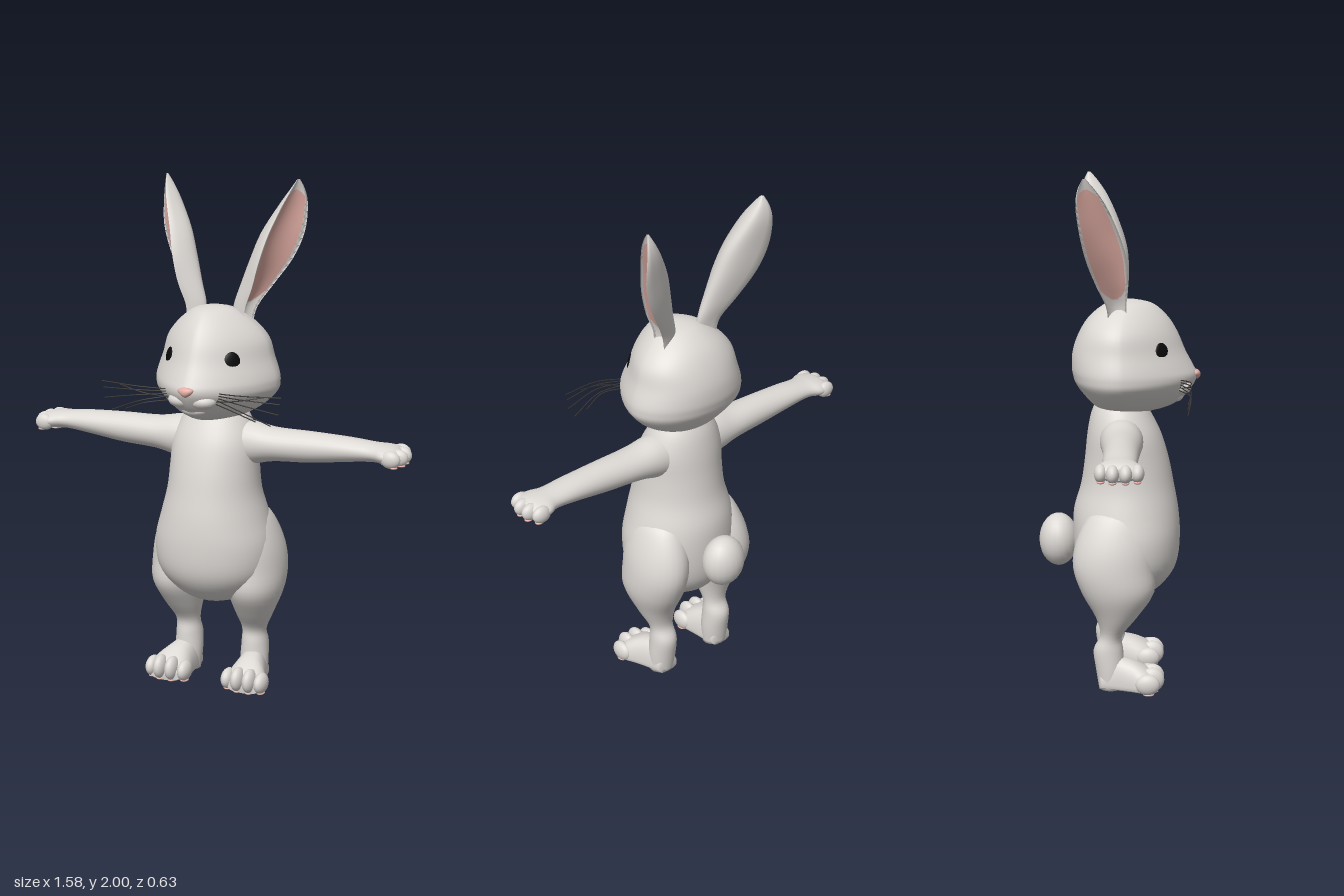
import * as THREE from 'three';

const mat = (name, color) => {
  const m = new THREE.MeshStandardMaterial({ color });
  m.name = name;
  return m;
};

// Smoothly resample a table of key rows (Catmull-Rom per column)
function resample(rows, steps) {
  const out = [];
  const cr = (a, b, c, d, t) =>
    0.5 * (2 * b + (c - a) * t + (2 * a - 5 * b + 4 * c - d) * t * t + (3 * b - a - 3 * c + d) * t * t * t);
  for (let i = 0; i < rows.length - 1; i++) {
    const [a, b, c, d] = [rows[Math.max(i - 1, 0)], rows[i], rows[i + 1], rows[Math.min(i + 2, rows.length - 1)]];
    for (let k = 0; k < steps; k++) out.push(b.map((_, j) => cr(a[j], b[j], c[j], d[j], k / steps)));
  }
  out.push(rows[rows.length - 1]);
  return out;
}

// Closed loft: point(row, u) with u in 0..1 around each section; ends are capped
function loft(keys, point, n = 28, steps = 4) {
  const rows = resample(keys, steps), pos = [], idx = [];
  rows.forEach(r => { for (let i = 0; i < n; i++) pos.push(...point(r, i / n)); });
  for (let j = 0; j < rows.length - 1; j++) {
    for (let i = 0; i < n; i++) {
      const a = j * n + i, b = j * n + (i + 1) % n;
      idx.push(a, b, a + n, b, b + n, a + n);
    }
  }
  [0, rows.length - 1].forEach(j => {
    const c = pos.length / 3, mid = [0, 0, 0];
    for (let i = 0; i < n; i++) for (let k = 0; k < 3; k++) mid[k] += pos[(j * n + i) * 3 + k] / n;
    pos.push(...mid);
    for (let i = 0; i < n; i++) {
      const a = j * n + i, b = j * n + (i + 1) % n;
      idx.push(...(j ? [a, b, c] : [b, a, c]));
    }
  });
  // Turn the faces outward if the enclosed volume is negative
  const v = i => new THREE.Vector3().fromArray(pos, i * 3);
  let volume = 0;
  for (let i = 0; i < idx.length; i += 3) volume += v(idx[i]).dot(v(idx[i + 1]).cross(v(idx[i + 2])));
  if (volume < 0) idx.reverse();
  return toGeometry(pos, idx);
}

function toGeometry(pos, idx) {
  const g = new THREE.BufferGeometry();
  g.setAttribute('position', new THREE.Float32BufferAttribute(pos, 3));
  g.setIndex(idx);
  g.computeVertexNormals();
  return g;
}

export function createModel() {
  const model = new THREE.Group();
  model.name = 'rabbit';
  const fur = mat('fur', 0xdcd8d4), pink = mat('pink skin', 0xdfaca3);
  const black = mat('eye black', 0x0a0a0a), dark = mat('whisker dark', 0x3a3735);
  pink.side = THREE.DoubleSide;

  const add = (name, geo, m) => {
    const mesh = new THREE.Mesh(geo, m);
    mesh.name = name;
    model.add(mesh);
    return mesh;
  };
  const ball = (name, m, p, r) => {
    const mesh = add(name, new THREE.SphereGeometry(1, 20, 14), m);
    mesh.position.set(...p);
    mesh.scale.set(...r);
    return mesh;
  };
  const TAU = Math.PI * 2;
  const spow = (v, e) => Math.sign(v) * Math.abs(v) ** e;

  // Torso: y, half width, front z, back z
  add('torso', loft([
    [1.14, 0.10, 0.09, -0.085], [1.08, 0.14, 0.125, -0.11], [1.0, 0.172, 0.165, -0.125],
    [0.9, 0.178, 0.195, -0.135], [0.8, 0.188, 0.215, -0.15], [0.7, 0.215, 0.233, -0.178],
    [0.6, 0.24, 0.24, -0.182], [0.5, 0.235, 0.232, -0.175], [0.43, 0.2, 0.2, -0.155],
    [0.37, 0.13, 0.14, -0.11], [0.34, 0.05, 0.07, -0.05],
  ], ([y, w, f, b], u) => [
    w * Math.cos(u * TAU), y, (f + b) / 2 + (f - b) / 2 * Math.sin(u * TAU)], 36), fur);

  // Head: y, half width, front z, back z, z of widest point; wedge-shaped toward the nose
  add('head', loft([
    [1.526, 0.02, 0.06, 0.02, 0.04], [1.51, 0.085, 0.13, -0.05, 0.03], [1.46, 0.155, 0.188, -0.115, 0.01],
    [1.4, 0.205, 0.226, -0.155, 0], [1.33, 0.225, 0.256, -0.18, 0], [1.27, 0.246, 0.288, -0.185, 0],
    [1.235, 0.251, 0.303, -0.18, 0], [1.2, 0.243, 0.292, -0.168, 0], [1.15, 0.195, 0.255, -0.13, 0],
    [1.11, 0.13, 0.195, -0.09, 0.02], [1.085, 0.05, 0.1, -0.02, 0.04],
  ], ([y, w, f, b, m], u) => {
    const c = Math.cos(u * TAU), s = Math.sin(u * TAU);
    return s > 0 ? [w * spow(c, 1.33), y, m + (f - m) * s ** 1.33] : [w * spow(c, 0.95), y, m + (m - b) * s];
  }, 48), fur);

  ball('chin', fur, [0, 1.153, 0.215], [0.055, 0.028, 0.038]);
  ball('tail', fur, [0, 0.57, -0.24], [0.09, 0.105, 0.077]);

  // Nose: a ball narrowed toward its lower end
  const noseGeo = new THREE.SphereGeometry(1, 20, 14), np = noseGeo.attributes.position;
  for (let i = 0; i < np.count; i++) np.setX(i, np.getX(i) * (0.65 + 0.35 * np.getY(i)) * 1.2);
  noseGeo.computeVertexNormals();
  const nose = add('nose', noseGeo, pink);
  nose.position.set(0, 1.234, 0.299);
  nose.scale.set(0.037, 0.019, 0.017);

  for (const s of [1, -1]) {
    const side = s > 0 ? 'left' : 'right';

    // Face details
    ball(side + 'Muzzle', fur, [s * 0.042, 1.192, 0.238], [0.056, 0.031, 0.045]);
    const eye = ball(side + 'Eye', black, [s * 0.129, 1.33, 0.163], [0.037, 0.044, 0.011]);
    eye.rotation.set(-0.12, s * 0.8, 0, 'YXZ');
    [[0.37, 1.24], [0.365, 1.215], [0.36, 1.175], [0.33, 1.13], [0.3, 1.235], [0.27, 1.14]].forEach(([x, y], i) => {
      const y0 = 1.225 - 0.008 * i;
      const path = new THREE.CatmullRomCurve3([
        new THREE.Vector3(s * 0.09, y0, 0.23), new THREE.Vector3(s * (0.1 + x * 0.3), y0 + (y - y0) * 0.35 + 0.005, 0.274),
        new THREE.Vector3(s * x, y, 0.262)]);
      add(side + 'Whisker', new THREE.TubeGeometry(path, 12, 0.0022, 5), dark);
    });

    // Ear: y, front edge x z, outer edge x z, middle of the back x z
    const ear = [
      [1.46, 0.12, 0.03, 0.13, -0.04, 0.06, -0.01], [1.52, 0.125, 0.03, 0.145, -0.05, 0.058, -0.02],
      [1.6, 0.155, 0.035, 0.195, -0.085, 0.083, -0.035], [1.7, 0.18, 0.03, 0.26, -0.12, 0.118, -0.065],
      [1.8, 0.205, 0, 0.298, -0.142, 0.155, -0.092], [1.9, 0.24, -0.045, 0.304, -0.155, 0.21, -0.122],
      [1.96, 0.262, -0.085, 0.295, -0.148, 0.247, -0.132], [2.0, 0.275, -0.12, 0.28, -0.13, 0.272, -0.128],
    ];
    const across = ([y, ax, az, bx, bz, mx, mz], t, depth) => {
      const k = 4 * t * (1 - t) * depth;
      return [s * (ax + (bx - ax) * t + k * (mx - (ax + bx) / 2)), y, az + (bz - az) * t + k * (mz - (az + bz) / 2)];
    };
    add(side + 'Ear', loft(ear, (r, u) => u < 0.5 ? across(r, u * 2, 1) : across(r, 2 - u * 2, 0.35), 24), fur);

    // Pink ear lining, a thin sheet just proud of the ear's hollow
    const lining = resample(ear, 4).filter(r => r[0] > 1.53 && r[0] < 1.965), pos = [], idx = [], n = 8;
    lining.forEach((r, j) => {
      const half = 0.42 * Math.min(1, 0.25 + 3.2 * Math.sin(Math.PI * j / (lining.length - 1)));
      for (let i = 0; i <= n; i++) pos.push(...across(r, 0.5 + half * (2 * i / n - 1), 0.25));
      for (let i = 0; i < n && j; i++) {
        const a = (j - 1) * (n + 1) + i, b = a + n + 1;
        idx.push(a, a + 1, b, a + 1, b + 1, b);
      }
    });
    if (s > 0) idx.reverse();
    add(side + 'EarLining', toGeometry(pos, idx), pink);

    // Arm and palm: x, centre y, centre z, half height, half depth
    add(side + 'Arm', loft([
      [0.08, 0.99, 0.01, 0.09, 0.085], [0.16, 0.993, 0.012, 0.084, 0.083], [0.25, 0.996, 0.014, 0.066, 0.077],
      [0.4, 1.0, 0.015, 0.06, 0.068], [0.55, 1.007, 0.014, 0.047, 0.064], [0.65, 1.008, 0.013, 0.037, 0.063],
      [0.7, 1.006, 0.013, 0.036, 0.083], [0.74, 1.002, 0.013, 0.033, 0.08], [0.76, 1.0, 0.013, 0.02, 0.06],
    ], ([x, y, z, h, d], u) => [s * x, y + h * Math.sin(u * TAU), z + d * Math.cos(u * TAU)]), fur);
    [-0.052, -0.01, 0.036, 0.078].forEach((z, i) => {
      const x = i % 3 ? 0.752 : 0.735;
      ball(side + 'Finger', fur, [s * x, 1.0, z], [0.039, 0.033, 0.024]);
      ball(side + 'FingerPad', pink, [s * (x + 0.012), 0.971, z], [0.017, 0.006, 0.014]);
    });
    ball(side + 'PalmPad', pink, [s * 0.705, 0.972, 0.013], [0.026, 0.006, 0.045]);

    // Leg: y, centre x, centre z, half width, half depth
    add(side + 'Leg', loft([
      [0.74, 0.13, 0, 0.03, 0.05], [0.7, 0.138, -0.005, 0.075, 0.11], [0.6, 0.152, -0.015, 0.105, 0.15],
      [0.5, 0.164, -0.02, 0.112, 0.157], [0.4, 0.164, -0.003, 0.108, 0.142], [0.3, 0.155, -0.008, 0.078, 0.083],
      [0.22, 0.146, -0.028, 0.051, 0.044], [0.16, 0.145, -0.04, 0.054, 0.058], [0.08, 0.145, -0.033, 0.057, 0.056],
      [0.005, 0.147, -0.03, 0.052, 0.047],
    ], ([y, x, z, w, d], u) => [s * (x + w * Math.cos(u * TAU)), y, z + d * Math.sin(u * TAU)]), fur);

    // Foot: z, centre x, half width, height, with a flat sole
    add(side + 'Foot', loft([
      [-0.075, 0.147, 0.045, 0.07], [-0.02, 0.15, 0.056, 0.13], [0.04, 0.158, 0.069, 0.126],
      [0.09, 0.166, 0.083, 0.106], [0.13, 0.17, 0.08, 0.08], [0.15, 0.17, 0.06, 0.05],
    ], ([z, x, w, h], u) => {
      const sy = Math.sin(u * TAU);
      return [s * (x + w * spow(Math.cos(u * TAU), 0.8)), sy < 0 ? 0.03 + 0.026 * spow(sy, 0.5) : 0.03 + (h - 0.03) * sy, z];
    }), fur);
    [0.096, 0.144, 0.194, 0.236].forEach((x, i) => {
      const big = i === 1 || i === 2;
      ball(side + 'Toe', fur, [s * x, big ? 0.053 : 0.045, big ? 0.132 : 0.115], [0.027, big ? 0.048 : 0.041, 0.048]);
      ball(side + 'ToePad', pink, [s * x, 0.006, big ? 0.135 : 0.118], [0.017, 0.006, 0.022]);
    });
    ball(side + 'SolePad', pink, [s * 0.16, 0.005, 0.05], [0.045, 0.005, 0.035]);
  }
  return model;
}
